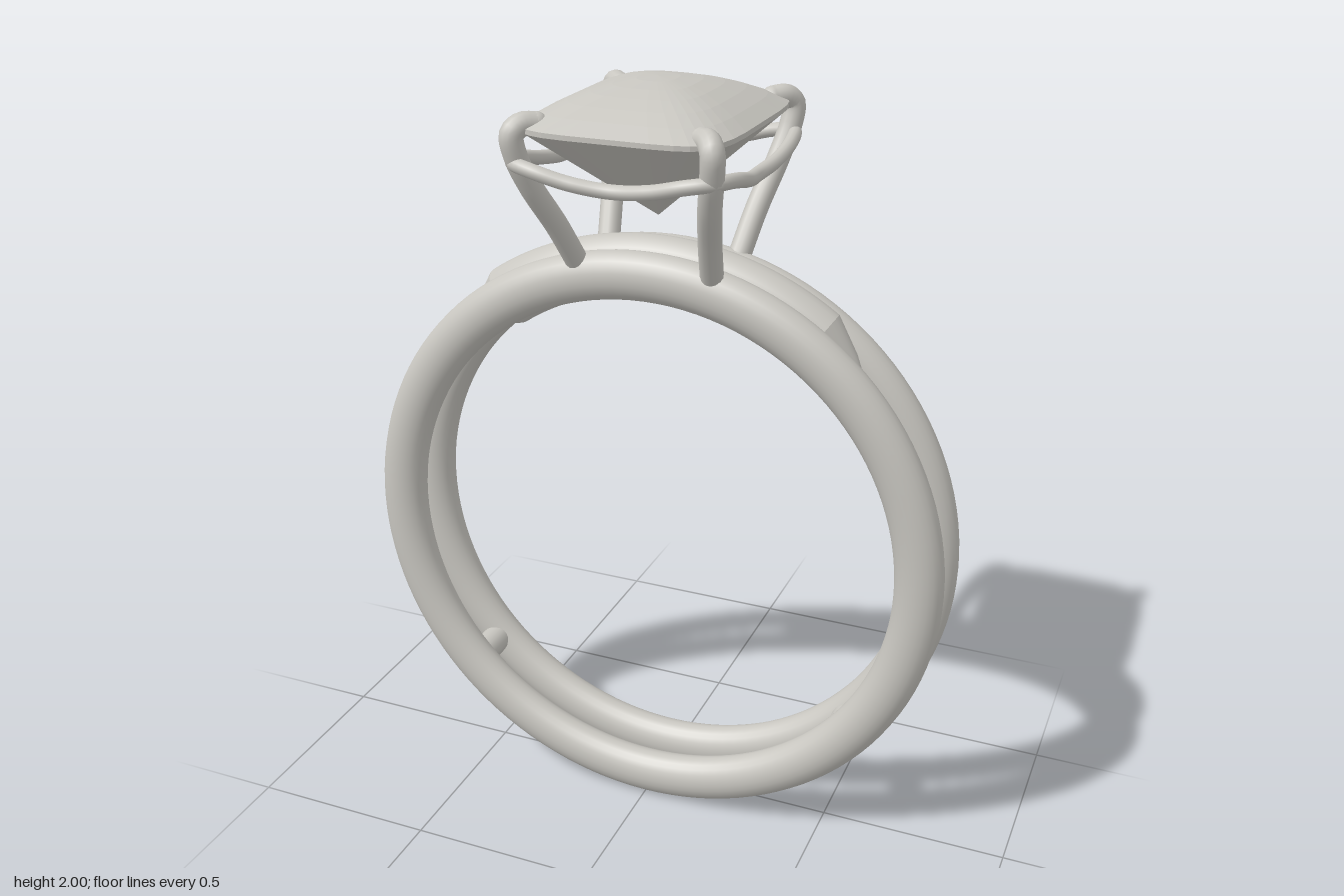
import * as THREE from 'three';

const RING_Y = 0.795, RING_R = 0.7325;
const V = (x, y, z) => new THREE.Vector3(x, y, z);

// Skin a list of closed cross-sections, each running counter-clockwise about the travel direction
function loft(rings, flat = false) {
  const n = rings[0].length, index = [];
  for (let i = 0; i < rings.length - 1; i++) {
    for (let j = 0; j < n; j++) {
      const a = i * n + j, b = i * n + (j + 1) % n;
      index.push(a, b, b + n, a, b + n, a + n);
    }
  }
  let geo = new THREE.BufferGeometry().setFromPoints(rings.flat());
  geo.setIndex(index);
  if (flat) geo = geo.toNonIndexed();
  geo.computeVertexNormals();
  return geo;
}

// Elliptical cross-section of the centre band at an angle from the top of the ring
function bandSection(degrees, size) {
  const a = THREE.MathUtils.degToRad(degrees);
  return Array.from({ length: 24 }, (_, j) => {
    const p = j / 24 * Math.PI * 2;
    const r = RING_R + 0.003 + 0.08 * size * Math.cos(p);
    return V(r * Math.sin(a), RING_Y + r * Math.cos(a), 0.064 * size * Math.sin(p));
  });
}

// Rounded-rectangle outline of the stone, softening toward the middle
function stoneSection(scale, y, power) {
  const curve = (c) => Math.sign(c) * Math.pow(Math.abs(c), 2 / power);
  return Array.from({ length: 32 }, (_, j) => {
    const p = (j + 0.5) / 32 * Math.PI * 2;
    return V(0.265 * scale * curve(Math.sin(p)), y, 0.308 * scale * curve(Math.cos(p)));
  });
}

export function createModel() {
  const ring = new THREE.Group();
  ring.name = 'ring';
  const metal = new THREE.MeshStandardMaterial({ color: 0xc8c6c0 });
  metal.name = 'pale grey';
  const add = (name, geo, parent = ring) => {
    const mesh = new THREE.Mesh(geo, metal);
    mesh.name = name;
    parent.add(mesh);
    return mesh;
  };

  // Twin bands
  for (const side of [1, -1]) {
    const geo = new THREE.TorusGeometry(RING_R, 0.0625, 24, 120);
    geo.scale(1, 1, 0.8);
    add(side > 0 ? 'frontBand' : 'backBand', geo).position.set(0, RING_Y, 0.08 * side);
  }

  // Centre band with pointed ends
  const arc = Array.from({ length: 37 }, (_, i) => bandSection(-35 + i * 70 / 36, 1));
  add('centreBand', loft(arc));
  add('rightBandPoint', loft([bandSection(-49, 0.001), bandSection(-42, 0.5), bandSection(-35, 1)]));
  add('leftBandPoint', loft([bandSection(35, 1), bandSection(42, 0.5), bandSection(49, 0.001)]));

  // Pegs joining the bands low down
  for (const side of [1, -1]) {
    const peg = add(side > 0 ? 'leftPeg' : 'rightPeg', new THREE.CylinderGeometry(0.04, 0.04, 0.14, 20));
    peg.rotation.x = Math.PI / 2;
    peg.position.set(0.537 * side, 0.3, 0);
  }

  // Four claws, hooked over the corners of the stone
  for (const sx of [1, -1]) {
    for (const sz of [1, -1]) {
      const claw = new THREE.Group();
      claw.name = (sz > 0 ? 'front' : 'back') + (sx > 0 ? 'Left' : 'Right') + 'Claw';
      const points = [[0.178, 1.55, 0.095], [0.198, 1.66, 0.165], [0.225, 1.77, 0.24], [0.243, 1.85, 0.277],
        [0.246, 1.9, 0.285], [0.23, 1.92, 0.265], [0.205, 1.918, 0.24]].map(([x, y, z]) => V(x * sx, y, z * sz));
      add('clawWire', new THREE.TubeGeometry(new THREE.CatmullRomCurve3(points), 48, 0.029, 14), claw);
      for (const end of [points[0], points[6]]) {
        add('clawEnd', new THREE.SphereGeometry(0.029, 14, 10), claw).position.copy(end);
      }
      ring.add(claw);
    }
  }

  // Wavy rail linking the claws
  const quarter = [[0, 1.79, 0.282], [0.1, 1.802, 0.295], [0.19, 1.824, 0.302], [0.248, 1.832, 0.28],
    [0.27, 1.824, 0.2], [0.268, 1.802, 0.1], [0.255, 1.79, 0]];
  const half = [...quarter, ...quarter.slice(0, -1).reverse().map(([x, y, z]) => [x, y, -z])];
  const loop = [...half, ...half.slice(1, -1).reverse().map(([x, y, z]) => [-x, y, z])];
  const railPath = new THREE.CatmullRomCurve3(loop.map((p) => V(...p)), true);
  add('rail', new THREE.TubeGeometry(railPath, 160, 0.018, 12, true));

  // Faceted stone: pointed base, thin girdle and domed crown
  const stone = new THREE.Group();
  stone.name = 'stone';
  add('stoneBase', loft([stoneSection(0.001, 1.662, 5), stoneSection(1, 1.903, 5)], true), stone);
  add('stoneGirdle', loft([stoneSection(1, 1.903, 5), stoneSection(1, 1.915, 5)], true), stone);
  const crown = [1, 0.84, 0.68, 0.52, 0.36, 0.18, 0.001].map(
    (s) => stoneSection(s, 1.915 + 0.085 * (1 - s * s), 2.2 + 2.8 * s));
  add('stoneCrown', loft(crown, true), stone);
  ring.add(stone);

  return ring;
}
